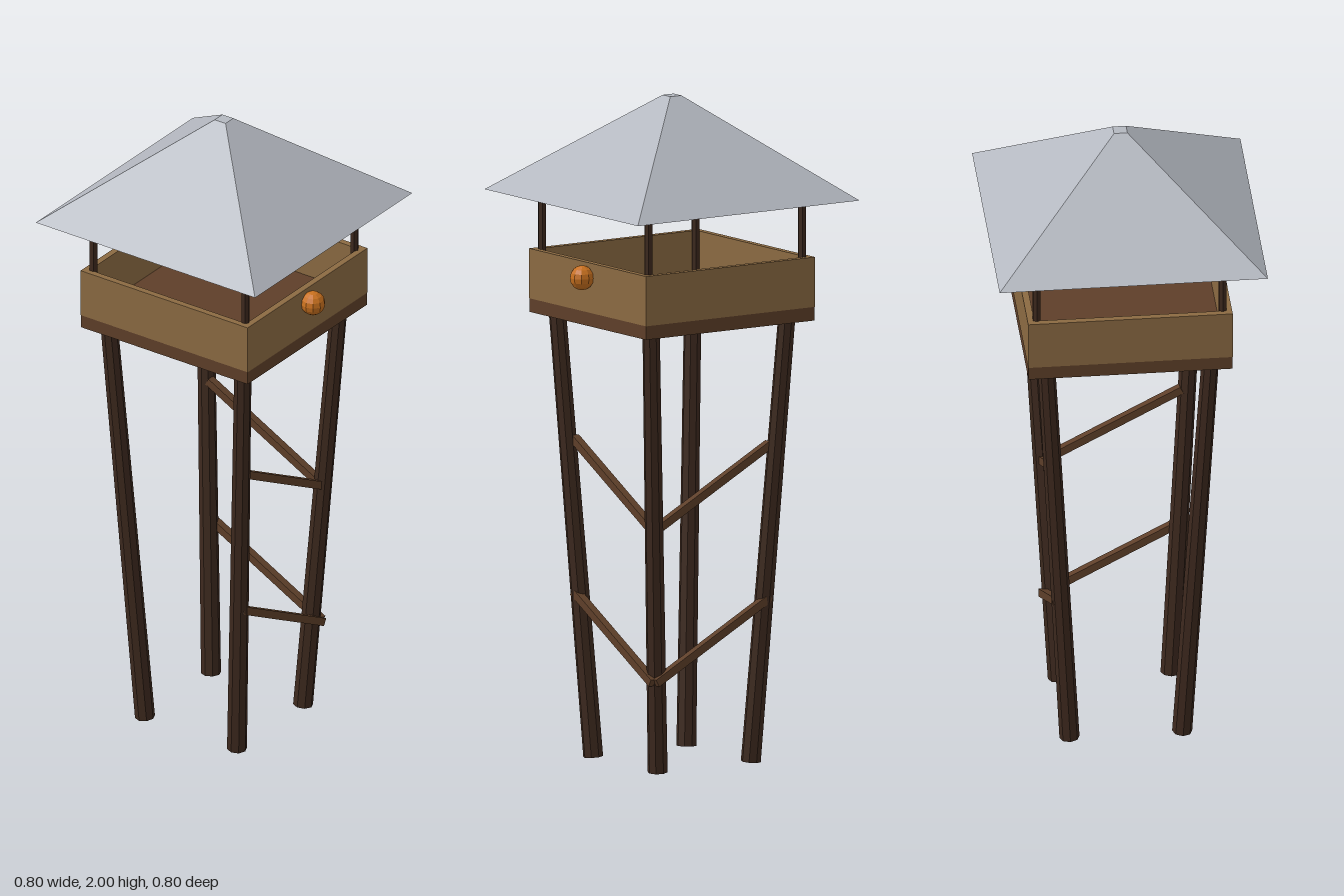
import * as THREE from 'three';

const material = (name, color, flatShading = true) => {
  const m = new THREE.MeshStandardMaterial({ color, flatShading });
  m.name = name;
  return m;
};

export function createModel() {
  const darkWood = material('dark wood', 0x3d291e);
  const deckWood = material('deck wood', 0x5e3f29);
  const railWood = material('rail wood', 0x8b6a42);
  const roofMetal = material('roof metal', 0xb4b8c0);
  const lampOrange = material('lamp orange', 0xc8701e);

  const model = new THREE.Group();
  model.name = 'watchtower';

  const add = (name, geometry, mat, x = 0, y = 0, z = 0) => {
    const mesh = new THREE.Mesh(geometry, mat);
    mesh.name = name;
    mesh.position.set(x, y, z);
    model.add(mesh);
    return mesh;
  };

  // Place a y-aligned mesh between two points
  const up = new THREE.Vector3(0, 1, 0);
  const span = (name, makeGeometry, mat, a, b) => {
    const dir = b.clone().sub(a);
    const mesh = add(name, makeGeometry(dir.length()), mat);
    mesh.position.copy(a).add(b).multiplyScalar(0.5);
    mesh.quaternion.setFromUnitVectors(up, dir.normalize());
  };

  // Legs lean outward towards the deck; slim posts carry the roof
  for (const sx of [-1, 1]) {
    for (const sz of [-1, 1]) {
      span('leg', (l) => new THREE.CylinderGeometry(0.026, 0.03, l, 8), darkWood,
        new THREE.Vector3(0.168 * sx, 0.003, 0.168 * sz),
        new THREE.Vector3(0.245 * sx, 1.35, 0.245 * sz));
      add('roofPost', new THREE.CylinderGeometry(0.013, 0.013, 0.34, 6), darkWood,
        0.277 * sx, 1.535, 0.277 * sz);
    }
  }

  // Diagonal braces on the front and the left side, both low at the shared leg
  const brace = (l) => new THREE.BoxGeometry(0.024, l, 0.024);
  for (const y of [0.28, 0.74]) {
    span('frontBrace', brace, deckWood,
      new THREE.Vector3(0.205, y, 0.21), new THREE.Vector3(-0.205, y + 0.22, 0.21));
    span('sideBrace', brace, deckWood,
      new THREE.Vector3(0.21, y, 0.205), new THREE.Vector3(0.21, y + 0.22, -0.205));
  }

  // Deck and its four parapet walls
  add('deck', new THREE.BoxGeometry(0.608, 0.042, 0.608), deckWood, 0, 1.356, 0);
  for (const s of [-1, 1]) {
    add('parapetWall', new THREE.BoxGeometry(0.61, 0.15, 0.02), railWood, 0, 1.451, 0.295 * s);
    add('parapetSide', new THREE.BoxGeometry(0.02, 0.15, 0.57), railWood, 0.295 * s, 1.451, 0);
  }

  // Pyramid roof with a small flat cap
  const roof = new THREE.CylinderGeometry(0.02 * Math.SQRT2, 0.4 * Math.SQRT2, 0.3, 4);
  roof.rotateY(Math.PI / 4);
  add('roof', roof, roofMetal, 0, 1.85, 0);

  // Round lamp on the front wall
  add('lamp', new THREE.SphereGeometry(0.037, 10, 8), lampOrange, 0, 1.482, 0.325);

  return model;
}
